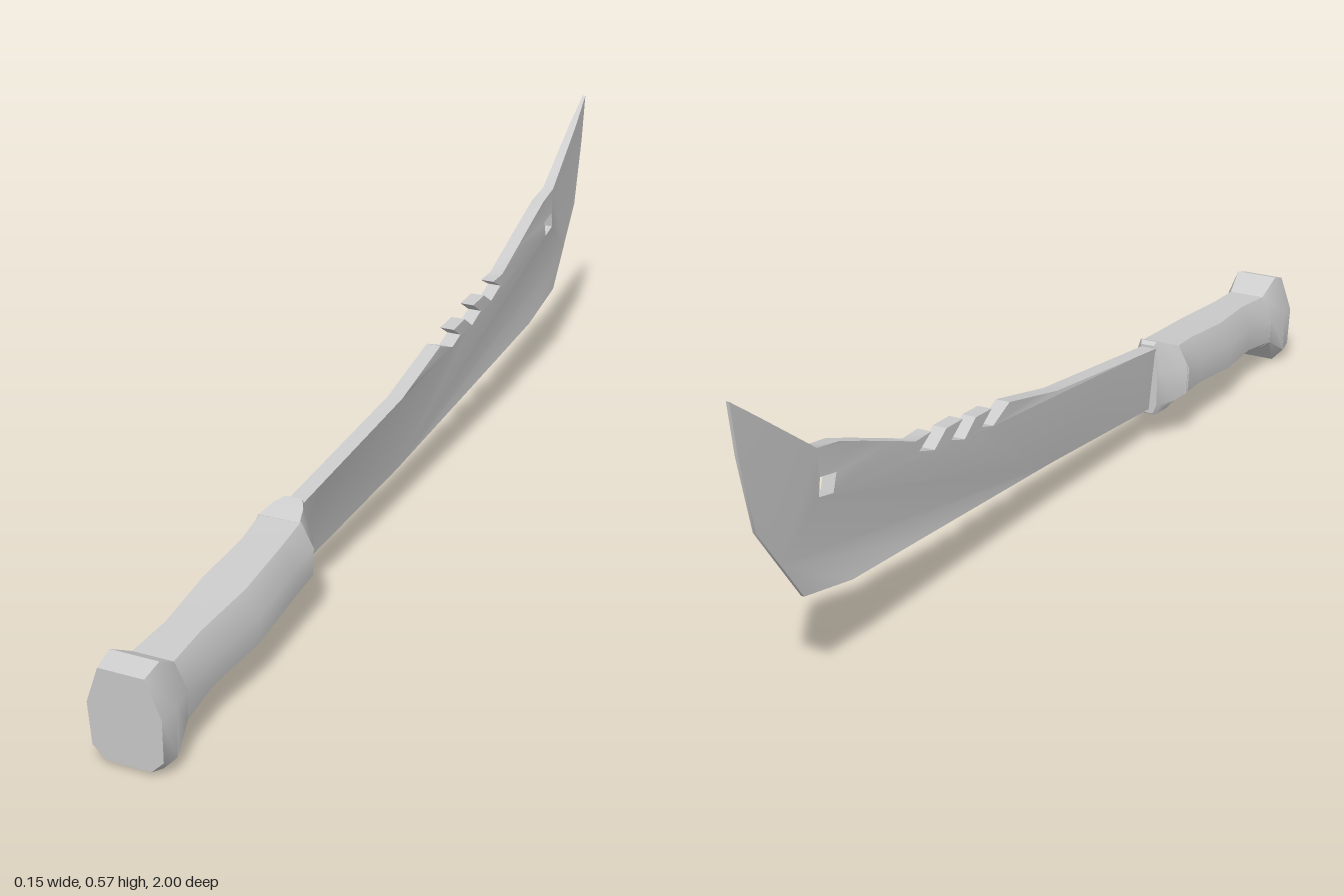
import * as THREE from 'three';
import { toCreasedNormals } from 'three/addons/utils/BufferGeometryUtils.js';

const material = new THREE.MeshStandardMaterial({ color: 0xcccccc });

// Linear interpolation in a list of [z, value] with falling z
function along(list, z) {
  for (let i = 1; i < list.length; i++) {
    const [z0, v0] = list[i - 1], [z1, v1] = list[i];
    if (z >= z1) return THREE.MathUtils.lerp(v0, v1, THREE.MathUtils.clamp((z0 - z) / (z0 - z1), 0, 1));
  }
  return list[list.length - 1][1];
}

// Cutting edge from guard to tip, as [z, y]
const belly = [[0.43, 0.07], [0.0, 0.1], [-0.69, 0.15], [-0.83, 0.18], [-0.95, 0.34], [-0.985, 0.48], [-1, 0.575]];
// Back of the blade from tip to guard, with the saw teeth
const spine = [
  [-0.79, 0.425], [-0.73, 0.415], [-0.66, 0.39], [-0.5, 0.33], [-0.45, 0.33],
  [-0.49, 0.308], [-0.44, 0.292], [-0.4, 0.318], [-0.345, 0.316],
  [-0.385, 0.29], [-0.34, 0.275], [-0.3, 0.303], [-0.245, 0.3],
  [-0.28, 0.277], [-0.24, 0.265], [-0.18, 0.29], [0, 0.25], [0.43, 0.203],
];
const middle = [[0.43, -0.012], [0, -0.006], [-0.45, -0.012], [-1, -0.021]];
const halfThickness = [[0.43, 0.016], [0, 0.015], [-0.73, 0.013], [-1, 0.006]];

// Adds points so that long edges follow the wedge and the bend
function subdivide(points) {
  const out = [];
  points.forEach(([z, y], i) => {
    const [z1, y1] = points[(i + 1) % points.length];
    const n = Math.max(1, Math.round(Math.hypot(z1 - z, y1 - y) / 0.1));
    for (let k = 0; k < n; k++) {
      out.push(new THREE.Vector2(-(z + (z1 - z) * k / n), y + (y1 - y) * k / n));
    }
  });
  return out;
}

function makeBlade() {
  const shape = new THREE.Shape(subdivide([...belly, ...spine]));
  const hole = [[-0.74, 0.365], [-0.785, 0.373], [-0.79, 0.34], [-0.75, 0.332]];
  shape.holes.push(new THREE.Path(hole.map(([z, y]) => new THREE.Vector2(-z, y))));
  const geometry = new THREE.ExtrudeGeometry(shape, { depth: 1, bevelEnabled: false });
  geometry.translate(0, 0, -0.5).rotateY(Math.PI / 2);
  // Wedge section: thick back, thin cutting edge
  const p = geometry.attributes.position;
  for (let i = 0; i < p.count; i++) {
    const z = p.getZ(i);
    const rise = THREE.MathUtils.clamp((p.getY(i) - along(belly, z)) / 0.13, 0, 1);
    const half = THREE.MathUtils.lerp(0.003, along(halfThickness, z), rise);
    p.setX(i, along(middle, z) + Math.sign(p.getX(i)) * half);
  }
  return toCreasedNormals(geometry, 0.6);
}

// Loft of eight-sided sections: [z, bottom, top, right x, left x, lean]
// lean shifts the top back along z
function loft(stations) {
  const section = [[0.62, 1], [-0.62, 1], [-1, 0.2], [-0.96, -0.72], [-0.6, -1], [0.6, -1], [0.96, -0.72], [1, 0.2]];
  const n = section.length, positions = [], index = [];
  for (const [z, bottom, top, x0, x1, lean = 0] of stations) {
    for (const [u, v] of section) {
      positions.push((x0 + x1) / 2 + u * (x1 - x0) / 2, (bottom + top) / 2 + v * (top - bottom) / 2, z - lean * v);
    }
  }
  for (let i = 0; i < stations.length - 1; i++) {
    for (let j = 0; j < n; j++) {
      const a = i * n + j, b = i * n + (j + 1) % n;
      index.push(a, a + n, b, b, a + n, b + n);
    }
  }
  const last = (stations.length - 1) * n;
  for (let j = 1; j < n - 1; j++) {
    index.push(0, j, j + 1, last, last + j + 1, last + j);
  }
  const geometry = new THREE.BufferGeometry();
  geometry.setAttribute('position', new THREE.Float32BufferAttribute(positions, 3));
  geometry.setIndex(index);
  return toCreasedNormals(geometry, 0.75);
}

export function createModel() {
  const model = new THREE.Group();
  const add = (name, geometry) => {
    const mesh = new THREE.Mesh(geometry, material);
    mesh.name = name;
    model.add(mesh);
  };

  add('blade', makeBlade());

  // Flared pommel
  add('pommel', loft([
    [0.995, 0.012, 0.185, -0.066, 0.07, -0.005],
    [0.96, 0.003, 0.197, -0.07, 0.076],
    [0.905, 0.048, 0.166, -0.06, 0.064],
  ]));

  // Swelling grip
  add('grip', loft([
    [0.91, 0.048, 0.166, -0.06, 0.064],
    [0.81, 0.058, 0.172, -0.052, 0.056],
    [0.67, 0.068, 0.18, -0.07, 0.066],
    [0.53, 0.079, 0.192, -0.066, 0.056],
    [0.45, 0.085, 0.2, -0.076, 0.052],
  ]));

  // Collar closing on the blade
  add('collar', loft([
    [0.455, 0.085, 0.2, -0.077, 0.052],
    [0.425, 0.07, 0.212, -0.06, 0.038],
    [0.405, 0.06, 0.219, -0.037, 0.018],
    [0.398, 0.064, 0.212, -0.033, 0.014],
  ]));

  return model;
}
